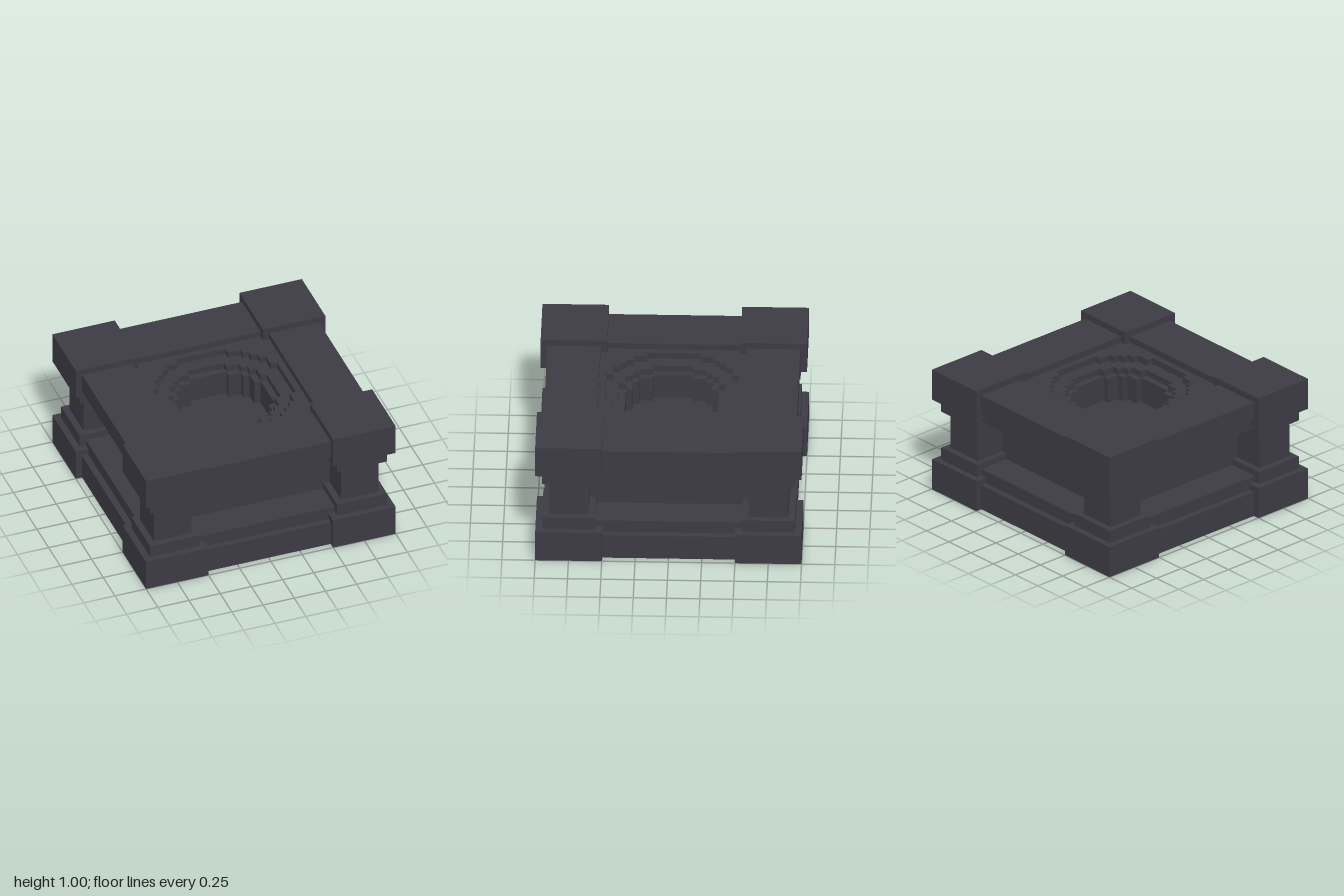
import * as THREE from 'three';

const stone = new THREE.MeshStandardMaterial({ color: 0x3c3b45 });
stone.name = 'darkStone';

function add(parent, name, geometry, x = 0, y = 0, z = 0) {
  const mesh = new THREE.Mesh(geometry, stone);
  mesh.name = name;
  mesh.position.set(x, y, z);
  parent.add(mesh);
  return mesh;
}

// Square block standing between two heights
function block(parent, name, width, y0, y1, x = 0, z = 0) {
  return add(parent, name, new THREE.BoxGeometry(width, y1 - y0, width), x, (y0 + y1) / 2, z);
}

function squarePoints(h) {
  return [[-h, -h], [h, -h], [h, h], [-h, h]].map(([x, y]) => new THREE.Vector2(x, y));
}

// Stepped circle: one quadrant's corners, turned four times
function steppedCircle(quadrant) {
  const points = [];
  for (let q = 0; q < 4; q++) {
    for (const [x, y] of quadrant) {
      points.push(new THREE.Vector2(x, y).rotateAround(new THREE.Vector2(), q * Math.PI / 2));
    }
  }
  return points;
}

// Square slab with a hole, lying flat between two heights
function slab(parent, name, half, hole, y0, y1) {
  const shape = new THREE.Shape(squarePoints(half));
  shape.holes.push(new THREE.Path(hole));
  const geometry = new THREE.ExtrudeGeometry(shape, { depth: y1 - y0, bevelEnabled: false });
  geometry.rotateX(-Math.PI / 2);
  return add(parent, name, geometry, 0, y0, 0);
}

export function createModel() {
  const model = new THREE.Group();
  model.name = 'stonePedestal';

  // Stepped base and recessed core, whose top is the basin floor
  block(model, 'baseLower', 1.9, 0, 0.2);
  block(model, 'baseUpper', 1.8, 0.2, 0.3);
  block(model, 'core', 1.3, 0.3, 0.6);

  // Basin rings, widening in steps towards the top
  const wide = [[0.5, -0.2], [0.5, 0.2], [0.45, 0.2], [0.45, 0.3], [0.4, 0.3], [0.4, 0.35],
    [0.35, 0.35], [0.35, 0.4], [0.3, 0.4], [0.3, 0.45], [0.2, 0.45]];
  const middle = [[0.4, -0.15], [0.4, 0.15], [0.35, 0.15], [0.35, 0.25], [0.3, 0.25], [0.3, 0.3],
    [0.25, 0.3], [0.25, 0.35], [0.15, 0.35]];
  const narrow = [[0.35, -0.15], [0.35, 0.15], [0.3, 0.15], [0.3, 0.25], [0.25, 0.25],
    [0.25, 0.3], [0.15, 0.3]];
  slab(model, 'basinWall', 0.65, steppedCircle(narrow), 0.6, 0.8);
  slab(model, 'basinLedge', 0.65, steppedCircle(middle), 0.8, 0.85);
  slab(model, 'basinRim', 0.65, steppedCircle(wide), 0.85, 0.9);

  // Top frame of beams
  slab(model, 'frameLower', 0.9, squarePoints(0.6), 0.7, 0.8);
  slab(model, 'frameUpper', 0.95, squarePoints(0.55), 0.8, 0.95);

  // Corner columns with stepped feet and capitals
  for (const sx of [-1, 1]) {
    for (const sz of [-1, 1]) {
      const column = new THREE.Group();
      column.name = 'cornerColumn';
      column.position.set(sx * 0.75, 0, sz * 0.75);
      block(column, 'foot', 0.5, 0, 0.25);
      block(column, 'footStep', 0.4, 0.25, 0.35);
      block(column, 'shaft', 0.3, 0.35, 0.65);
      block(column, 'capitalStep', 0.4, 0.65, 0.75);
      block(column, 'capital', 0.5, 0.75, 1);
      model.add(column);
    }
  }
  return model;
}
